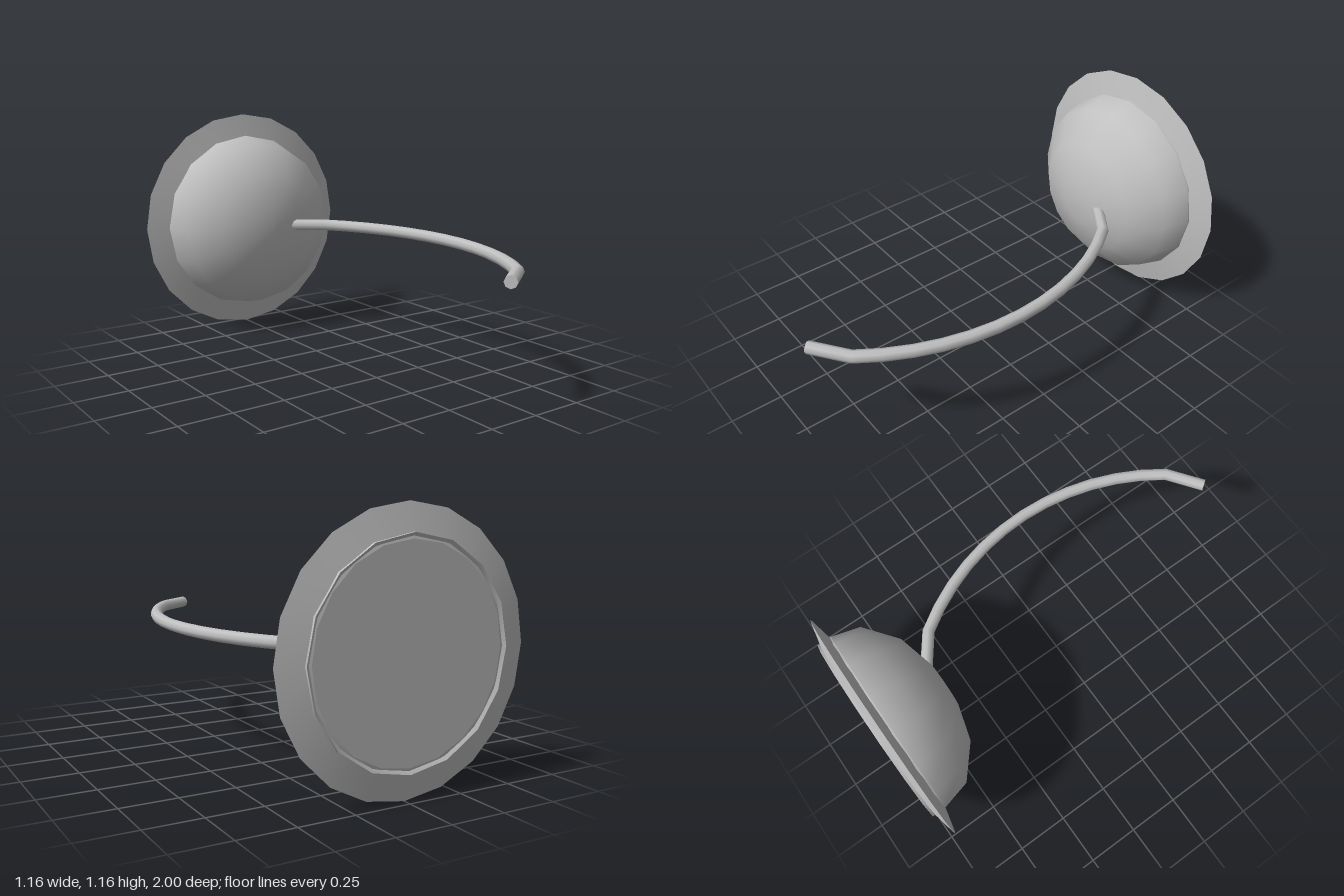
import * as THREE from 'three';
import { toCreasedNormals } from 'three/addons/utils/BufferGeometryUtils.js';

const CENTRE_Y = 0.583;

// Lathe turned so its axis runs along z; points are [radius, z] with z increasing
function latheZ(points, sides) {
  const g = new THREE.LatheGeometry(points.map(([r, z]) => new THREE.Vector2(r, z)), sides);
  return g.rotateX(Math.PI / 2);
}

// Path that passes straight between its listed points
class PolyPath extends THREE.Curve {
  constructor(points) {
    super();
    this.points = points;
  }
  getPoint(t, target = new THREE.Vector3()) {
    const n = this.points.length - 1;
    const i = Math.min(Math.floor(t * n + 1e-6), n - 1);
    return target.lerpVectors(this.points[i], this.points[i + 1], t * n - i);
  }
  getPointAt(u, target) {
    return this.getPoint(u, target);
  }
  getTangentAt(u, target = new THREE.Vector3()) {
    const n = this.points.length - 1;
    const i = Math.round(u * n);
    const p = this.points;
    const dir = (a, b) => new THREE.Vector3().subVectors(p[b], p[a]).normalize();
    const before = dir(Math.max(i - 1, 0), Math.max(i, 1));
    const after = dir(Math.min(i, n - 1), Math.min(i + 1, n));
    return target.copy(before).add(after).normalize();
  }
}

export function createModel() {
  const model = new THREE.Group();
  const grey = new THREE.MeshStandardMaterial({ color: 0xc0c0c0 });

  const add = (name, geometry, y = CENTRE_Y) => {
    const mesh = new THREE.Mesh(geometry, grey);
    mesh.name = name;
    mesh.position.y = y;
    model.add(mesh);
    return mesh;
  };

  // Rounded bowl facing forward
  add('dome', latheZ([[0.465, -0.935], [0.43, -0.8], [0.285, -0.68], [0.115, -0.632], [0, -0.63]], 16));

  // Thin flange that tapers to a sharp rim
  const flange = latheZ([[0.44, -0.993], [0.58, -0.963], [0.44, -0.932]], 20);
  add('flange', toCreasedNormals(flange, Math.PI / 6));

  // Back plate with a small bevelled lip
  const back = latheZ([[0, -0.99], [0.45, -0.99], [0.465, -1], [0.465, -0.93]], 16);
  add('backPlate', toCreasedNormals(back, Math.PI / 6));

  // Bowed arm: a circular arc with a short straight piece at each end
  const midZ = 0.155, half = 0.705, radius = 1.195, steps = 12;
  const spread = Math.asin(half / radius);
  const path = [new THREE.Vector3(0.1, 0, 0.977)];
  for (let i = 0; i <= steps; i++) {
    const a = spread * (1 - (2 * i) / steps);
    path.push(new THREE.Vector3(0.49 - radius * (1 - Math.cos(a)), 0, midZ + radius * Math.sin(a)));
  }
  path.push(new THREE.Vector3(0.1, 0, 2 * midZ - 0.977));
  const curve = new PolyPath(path);
  add('arm', new THREE.TubeGeometry(curve, path.length - 1, 0.029, 8));

  // Caps on both arm ends
  for (const end of [0, 1]) {
    const cap = add('armCap', new THREE.CircleGeometry(0.029, 8));
    const out = curve.getTangentAt(end).multiplyScalar(end ? 1 : -1);
    cap.position.add(curve.getPointAt(end));
    cap.quaternion.setFromUnitVectors(new THREE.Vector3(0, 0, 1), out);
  }

  return model;
}
